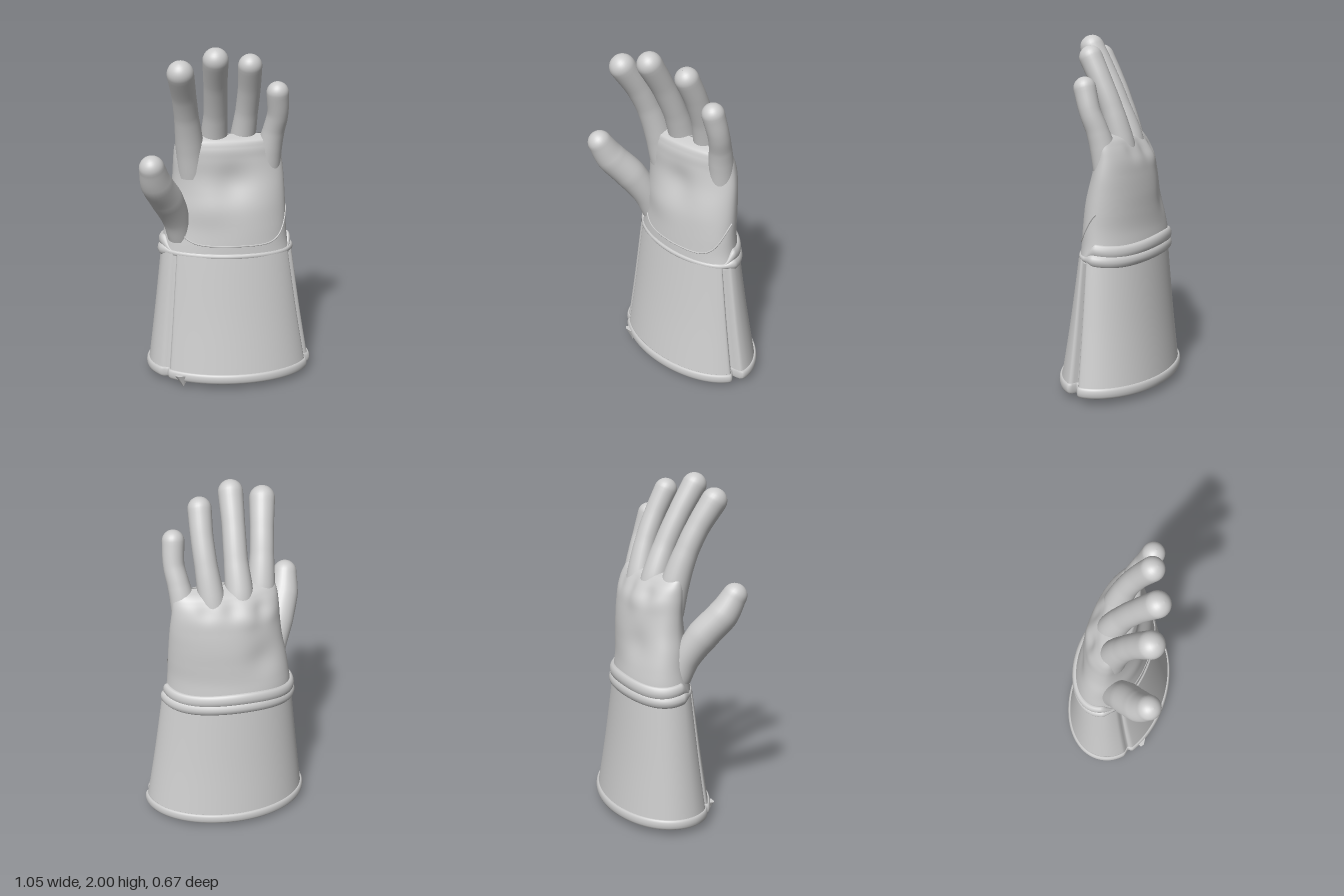
import * as THREE from 'three';

const grey = () => new THREE.MeshStandardMaterial({ color: 0xcccccc, side: THREE.DoubleSide });
const bell = (d, w) => Math.exp(-(d * d) / (w * w));

// Skin a list of rings (each an array of Vector3) into one smooth mesh.
function loft(name, rings, closed = false) {
  const n = rings[0].length, m = rings.length, index = [];
  for (let i = 0; i < (closed ? m : m - 1); i++) {
    for (let j = 0; j < n; j++) {
      const a = i * n + j, b = i * n + (j + 1) % n;
      const c = ((i + 1) % m) * n + j, d = ((i + 1) % m) * n + (j + 1) % n;
      index.push(a, c, b, b, c, d);
    }
  }
  const geo = new THREE.BufferGeometry().setFromPoints(rings.flat());
  geo.setIndex(index);
  geo.computeVertexNormals();
  const mesh = new THREE.Mesh(geo, grey());
  mesh.name = name;
  return mesh;
}

// Section table rows: y, centre x, centre z, half width, sideways slant, front depth, back depth.
function sections(rows) {
  const spline = new THREE.CubicInterpolant(rows.map(r => r[0]), rows.flatMap(r => r.slice(1)), 6);
  return (y, t) => {
    const [cx, cz, a, slant, f, b] = spline.evaluate(y);
    const u = Math.cos(t), v = Math.sin(t);
    return new THREE.Vector3(cx + a * u, y, cz + slant * u + (v > 0 ? f : b) * v);
  };
}

const cuffBase = sections([
  [0.04, 0.04, 0.025, 0.475, 0.085, 0.295, 0.335],
  [0.40, 0.032, 0.022, 0.42, 0.088, 0.235, 0.29],
  [0.80, 0.025, 0.02, 0.365, 0.09, 0.175, 0.25]]);
// Cuff surface with the two side seams drawn in where the panels meet.
function cuffAt(y, t) {
  const p = cuffBase(y, t);
  const k = 1 - 0.13 * bell(t - 0.37, 0.07) - 0.06 * bell(t - 2.66, 0.05);
  return p.set(0.035 + (p.x - 0.035) * k, y, 0.02 + (p.z - 0.02) * k);
}

const handBase = sections([
  [0.76, 0.025, 0.02, 0.36, 0.09, 0.172, 0.245],
  [0.85, 0.022, 0.005, 0.347, 0.09, 0.18, 0.235],
  [0.95, 0.026, 0, 0.335, 0.09, 0.175, 0.215],
  [1.05, 0.032, 0, 0.328, 0.08, 0.163, 0.203],
  [1.15, 0.04, 0, 0.318, 0.07, 0.145, 0.19],
  [1.25, 0.042, 0, 0.312, 0.06, 0.128, 0.17],
  [1.35, 0.037, 0.003, 0.306, 0.05, 0.115, 0.145],
  [1.42, 0.034, 0.012, 0.298, 0.05, 0.095, 0.11],
  [1.46, 0.033, 0.02, 0.285, 0.05, 0.06, 0.065],
  [1.475, 0.033, 0.022, 0.27, 0.05, 0.004, 0.004]]);
// Soft folds in the leather: x, y, side (1 palm, -1 back), push along z, radius.
const folds = [
  [0.03, 1.22, 1, -0.022, 0.10], [-0.14, 1.08, 1, 0.014, 0.12], [0.22, 1.12, 1, 0.012, 0.13],
  [-0.19, 1.33, -1, -0.015, 0.07], [-0.11, 1.36, -1, 0.018, 0.05], [-0.03, 1.33, -1, -0.015, 0.07],
  [0.06, 1.38, -1, 0.014, 0.05], [0.20, 1.38, -1, 0.014, 0.05], [-0.1, 1.08, -1, 0.02, 0.1]];
function handAt(y, t) {
  const p = handBase(y, t), x = p.x;
  const s = Math.sin(t);
  for (const [fx, fy, side, push, r] of folds) {
    p.z += push * Math.max(0, side * s) * bell(Math.hypot(x - fx, y - fy), r);
  }
  return p;
}

function shell(name, at, y0, y1, rows, around) {
  const rings = [];
  for (let i = 0; i <= rows; i++) {
    const y = y0 + (y1 - y0) * i / rows;
    rings.push(Array.from({ length: around }, (_, j) => at(y, j / around * Math.PI * 2)));
  }
  return loft(name, rings);
}

// Padded roll that follows a surface; height and thickness may vary round the loop.
function roll(name, at, yAt, halfHeight, thick, around = 160) {
  const rings = [];
  for (let i = 0; i < around; i++) {
    const t = i / around * Math.PI * 2, p = at(yAt(t), t);
    const out = new THREE.Vector3(p.x - 0.03, 0, p.z - 0.02).normalize();
    rings.push(Array.from({ length: 12 }, (_, j) => {
      const f = j / 12 * Math.PI * 2;
      const q = p.clone().addScaledVector(out, thick(t) * Math.cos(f));
      q.y -= halfHeight(t) * Math.sin(f);
      return q;
    }));
  }
  return loft(name, rings, true);
}

// Finger: rounded tube; each point is x, y, z, radius.
function finger(name, pts) {
  const path = new THREE.CatmullRomCurve3(pts.map(p => new THREE.Vector3(p[0], p[1], p[2])));
  const rings = [], n = 28, steps = 28;
  const ring = (c, T, r) => {
    const X = new THREE.Vector3(1, 0, 0).addScaledVector(T, -T.x).normalize();
    const Z = X.clone().cross(T);
    rings.push(Array.from({ length: n }, (_, j) => {
      const a = j / n * Math.PI * 2;
      return c.clone().addScaledVector(X, r * Math.cos(a)).addScaledVector(Z, r * Math.sin(a));
    }));
  };
  for (let i = 0; i <= steps; i++) {
    const t = i / steps, s = t * (pts.length - 1), k = Math.min(Math.floor(s), pts.length - 2);
    ring(path.getPoint(t), path.getTangent(t), THREE.MathUtils.lerp(pts[k][3], pts[k + 1][3], s - k));
  }
  const end = path.getPoint(1), T = path.getTangent(1), r = pts[pts.length - 1][3];
  for (let i = 1; i <= 8; i++) {
    const a = i / 8 * Math.PI / 2;
    ring(end.clone().addScaledVector(T, r * Math.sin(a)), T, Math.max(r * Math.cos(a), 0.0005));
  }
  return loft(name, rings);
}

export function createModel() {
  const glove = new THREE.Group();
  glove.name = 'glove';

  // Flared cuff with bound hem
  glove.add(shell('cuff', cuffAt, 0.05, 0.79, 24, 200));
  glove.add(roll('hem', cuffAt, () => 0.07, () => 0.03, () => 0.013, 200));

  // Loose end of the hem binding
  const tab = new THREE.Mesh(new THREE.ConeGeometry(0.05, 0.08, 8), grey());
  tab.name = 'hemTab';
  tab.rotation.x = Math.PI;
  tab.scale.z = 0.5;
  tab.position.set(-0.295, 0.042, 0.165);
  glove.add(tab);

  // Wrist rolls: thick round the back, thin across the palm
  const back = t => THREE.MathUtils.smoothstep(0.25 - Math.sin(t), -0.15, 0.25);
  glove.add(roll('lowerWristRoll', handAt, t => 0.792 + 0.01 * Math.sin(3 * t) * back(t),
    t => 0.014 + 0.022 * back(t), t => 0.01 + 0.018 * back(t)));
  glove.add(roll('upperWristRoll', handAt, t => 0.80 + (0.045 + 0.012 * Math.sin(3 * t)) * back(t),
    t => 0.008 + 0.03 * back(t), t => 0.004 + 0.019 * back(t)));

  // Hand
  glove.add(shell('hand', handAt, 0.77, 1.475, 56, 112));

  // Curved seam across the heel of the palm
  const seam = [];
  for (let i = 0; i <= 40; i++) {
    const t = 0.12 + (Math.PI - 0.24) * i / 40;
    seam.push(handAt(0.855 + 0.2 * Math.pow(Math.abs(Math.cos(t)), 6), t));
  }
  const seamMesh = new THREE.Mesh(
    new THREE.TubeGeometry(new THREE.CatmullRomCurve3(seam), 80, 0.005, 6), grey());
  seamMesh.name = 'palmSeam';
  glove.add(seamMesh);

  // Fingers and thumb
  const digits = {
    indexFinger: [[-0.165, 1.25, -0.035, 0.085], [-0.188, 1.43, -0.005, 0.08], [-0.22, 1.6, 0.045, 0.068],
      [-0.25, 1.73, 0.1, 0.067], [-0.292, 1.868, 0.175, 0.073]],
    middleFinger: [[-0.02, 1.25, -0.06, 0.085], [-0.035, 1.43, -0.025, 0.08], [-0.047, 1.6, 0.035, 0.067],
      [-0.075, 1.78, 0.115, 0.065], [-0.103, 1.932, 0.198, 0.07]],
    ringFinger: [[0.12, 1.25, -0.04, 0.078], [0.129, 1.43, -0.003, 0.074], [0.134, 1.6, 0.045, 0.064],
      [0.126, 1.75, 0.105, 0.063], [0.106, 1.885, 0.167, 0.066]],
    littleFinger: [[0.26, 1.22, 0.045, 0.075], [0.267, 1.4, 0.075, 0.07], [0.277, 1.5, 0.103, 0.062],
      [0.284, 1.6, 0.14, 0.059], [0.268, 1.728, 0.172, 0.062]],
    thumb: [[-0.245, 0.88, -0.03, 0.07], [-0.275, 1.0, 0, 0.08], [-0.345, 1.14, 0.06, 0.092],
      [-0.425, 1.265, 0.135, 0.088], [-0.462, 1.37, 0.183, 0.07]],
  };
  for (const [name, pts] of Object.entries(digits)) glove.add(finger(name, pts));

  return glove;
}
